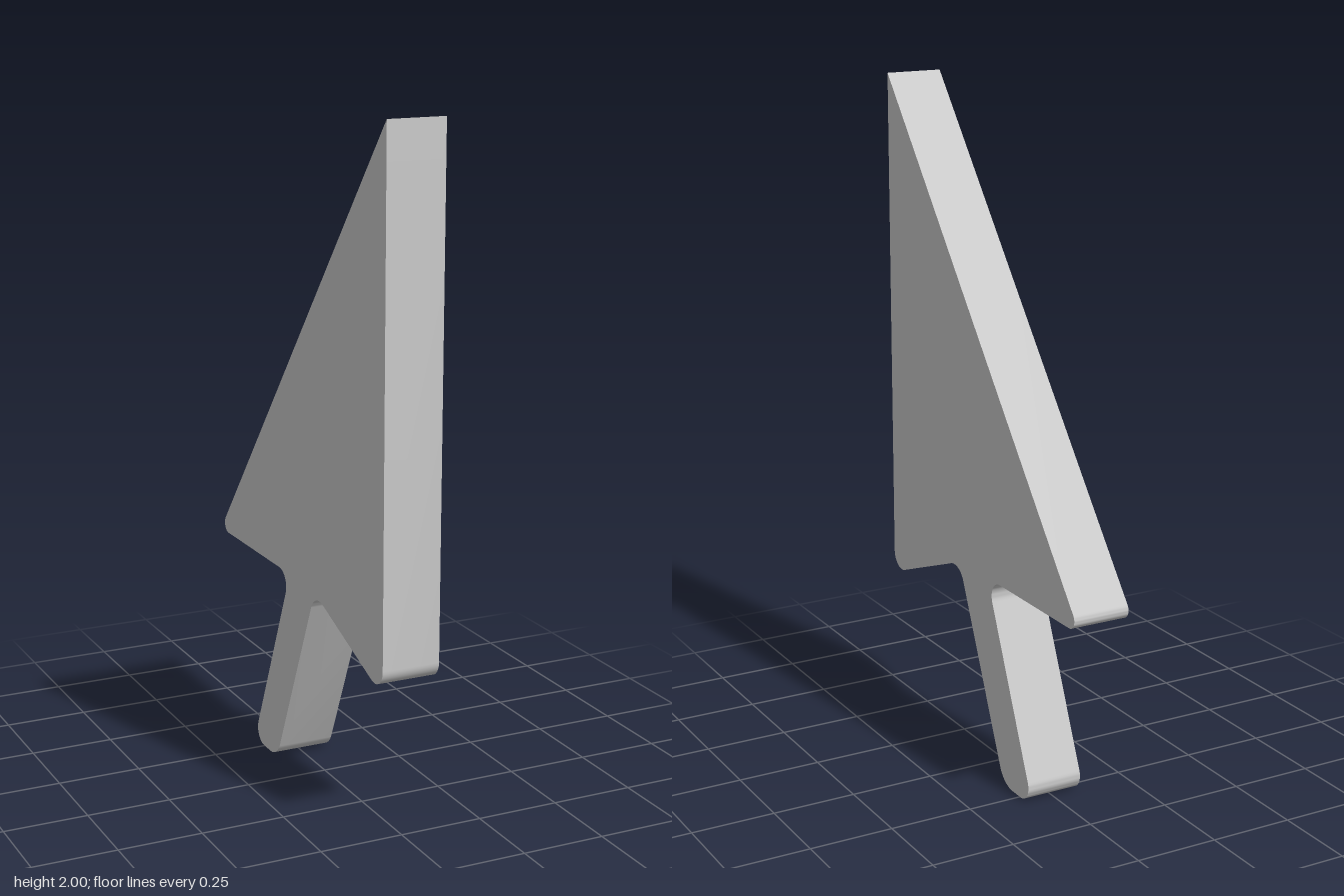
import * as THREE from 'three';
import { toCreasedNormals } from 'three/addons/utils/BufferGeometryUtils.js';

const THICKNESS = 0.173;

// Outline corners: z, y, fillet radius
const CORNERS = [
  [0.545, 2, 0],            // sharp tip
  [0.545, 0.4425, 0.049],   // lower front corner
  [0.113, 0.608, 0.06],     // front notch
  [-0.155, 0, 0.08],        // stem foot, front
  [-0.323, 0, 0.045],       // stem foot, back
  [-0.058, 0.613, 0.048],   // back notch
  [-0.5735, 0.613, 0.027],  // wing end
];

// Replaces every corner that has a radius by a tangent arc
function roundedOutline(corners, segments = 12) {
  const pts = corners.map(([x, y]) => new THREE.Vector2(x, y));
  const n = pts.length;
  const out = [];
  corners.forEach(([, , r], i) => {
    const p = pts[i];
    if (!r) {
      out.push(p);
      return;
    }
    const from = p.clone().sub(pts[(i + n - 1) % n]).normalize();
    const to = pts[(i + 1) % n].clone().sub(p).normalize();
    const turn = Math.atan2(from.cross(to), from.dot(to));
    const side = Math.sign(turn);
    const start = p.clone().addScaledVector(from, -r * Math.tan(Math.abs(turn) / 2));
    const center = new THREE.Vector2(-from.y, from.x).multiplyScalar(side * r).add(start);
    for (let k = 0; k <= segments; k++) {
      out.push(start.clone().rotateAround(center, (turn * k) / segments));
    }
  });
  return out;
}

export function createModel() {
  const group = new THREE.Group();
  group.name = 'arrowPointer';

  // Flat plate, extruded across x with the outline in the zy plane
  const shape = new THREE.Shape(roundedOutline(CORNERS));
  const geometry = new THREE.ExtrudeGeometry(shape, { depth: THICKNESS, bevelEnabled: false });
  geometry.translate(0, 0, -THICKNESS / 2);
  geometry.rotateY(-Math.PI / 2);

  const arrow = new THREE.Mesh(
    toCreasedNormals(geometry, 0.5),
    new THREE.MeshStandardMaterial({ color: 0xcccccc })
  );
  arrow.name = 'arrowPlate';
  group.add(arrow);
  return group;
}
